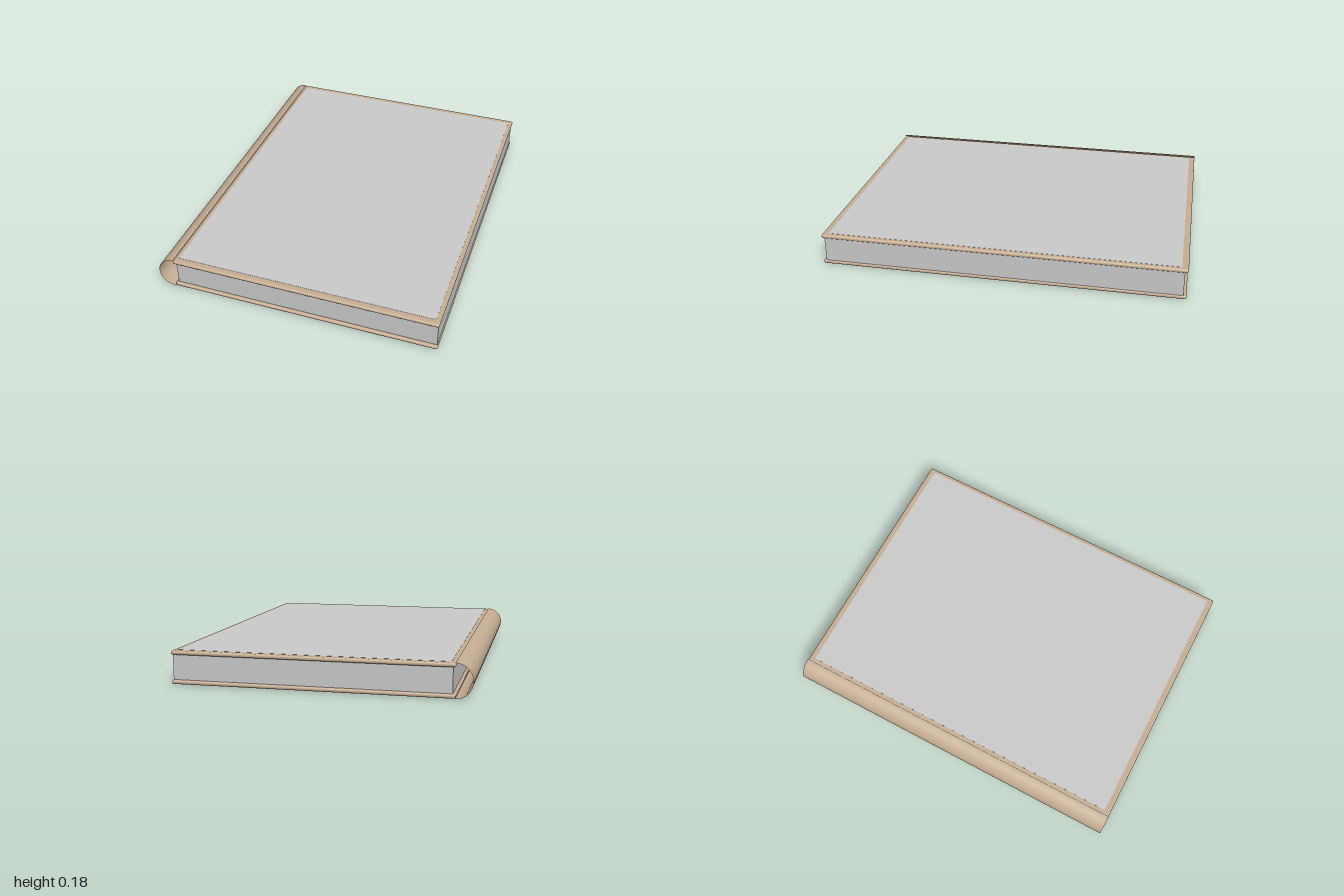
import * as THREE from 'three';
import { RoundedBoxGeometry } from 'three/addons/geometries/RoundedBoxGeometry.js';

export function createModel() {
  const book = new THREE.Group();
  book.name = 'book';

  const leather = new THREE.MeshStandardMaterial({ color: 0xc6ae94 });
  const spineLeather = new THREE.MeshStandardMaterial({ color: 0xc6ae94, side: THREE.DoubleSide });
  const grey = new THREE.MeshStandardMaterial({ color: 0xcccccc });
  const thickness = 0.022, height = 0.18;

  function add(name, geometry, material, x, y, z = 0) {
    const mesh = new THREE.Mesh(geometry, material);
    mesh.name = name;
    mesh.position.set(x, y, z);
    book.add(mesh);
    return mesh;
  }

  // Two boards with rounded edges
  const board = new RoundedBoxGeometry(1.495, thickness, 2, 4, 0.01);
  add('backCover', board, leather, 0.043, thickness / 2);
  add('frontCover', board, leather, 0.043, height - 0.001 - thickness / 2);

  // Thin inlaid sheet on the upper board
  add('coverPanel', new THREE.BoxGeometry(1.445, 0.004, 1.93), grey, 0.043, height - 0.002);

  // Page block, set in slightly from the boards
  add('pages', new THREE.BoxGeometry(1.475, height - 2 * thickness + 0.004, 1.966), grey, 0.0475, height / 2);

  // Open half-round spine, running the full length of the boards
  const spine = new THREE.CylinderGeometry(0.09, 0.09, 2, 32, 1, true, Math.PI, Math.PI);
  spine.rotateX(Math.PI / 2);
  add('spine', spine, spineLeather, -0.702, height / 2);

  return book;
}
